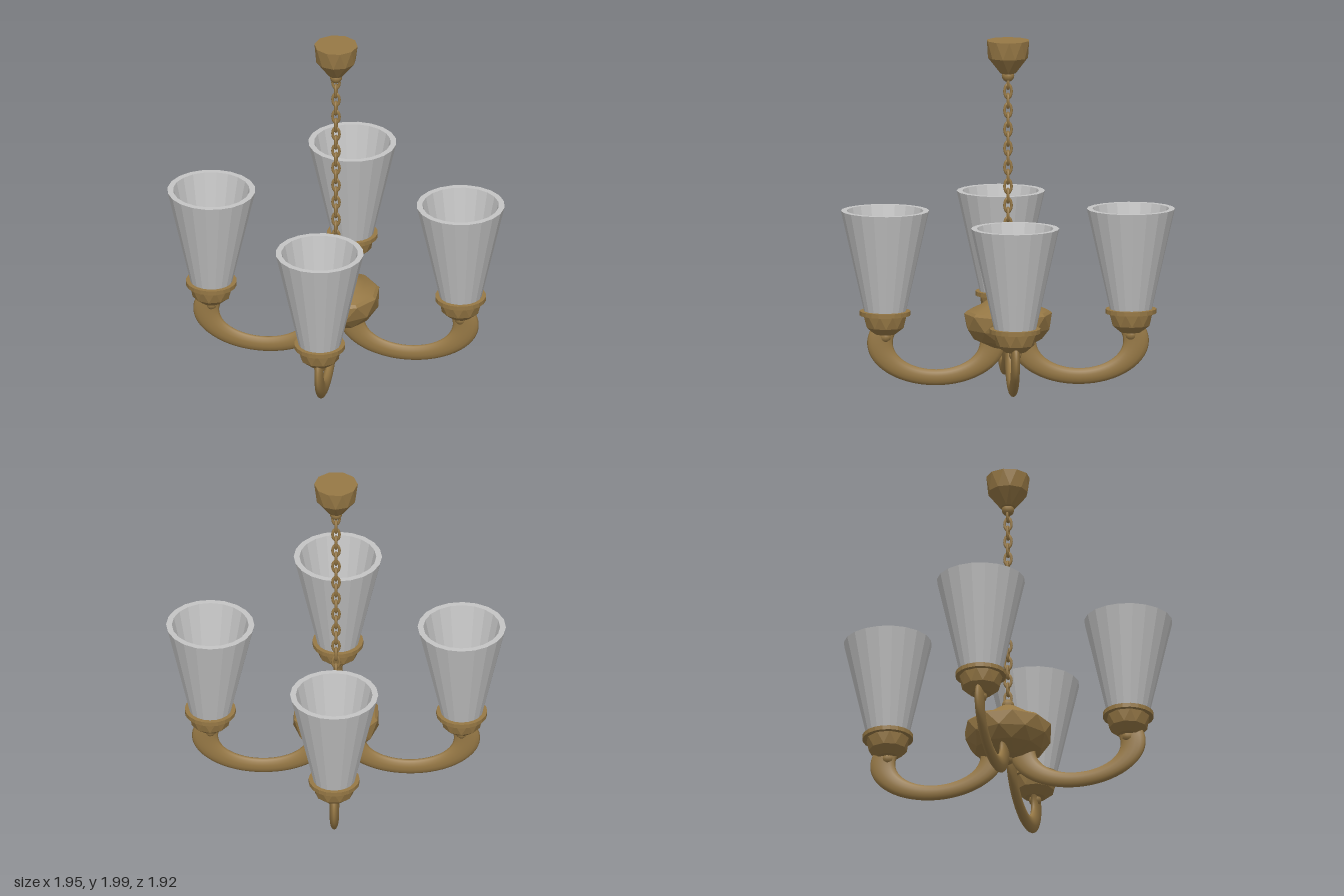
import * as THREE from 'three';

const brass = new THREE.MeshStandardMaterial({ color: 0x967845 });
brass.name = 'antique brass';
const glass = new THREE.MeshStandardMaterial({ color: 0xc4c4c4 });
glass.name = 'frosted glass';

function part(parent, name, geometry, material, x = 0, y = 0, z = 0) {
  const mesh = new THREE.Mesh(geometry, material);
  mesh.name = name;
  mesh.position.set(x, y, z);
  parent.add(mesh);
  return mesh;
}

// Give every face its own flat normal
function flat(geometry) {
  const g = geometry.index ? geometry.toNonIndexed() : geometry;
  g.computeVertexNormals();
  return g;
}

function lathe(profile, sides) {
  return new THREE.LatheGeometry(profile.map(([r, y]) => new THREE.Vector2(r, y)), sides);
}

// Cut-gem turning: every other ring is rotated half a step, giving triangular facets
function faceted(profile, sides = 10) {
  const positions = [];
  const point = (i, j) => {
    const a = ((j + (i % 2) * 0.5) / sides) * Math.PI * 2;
    const [r, y] = profile[i];
    return [r * Math.sin(a), y, r * Math.cos(a)];
  };
  for (let i = 0; i < profile.length - 1; i++) {
    for (let j = 0; j < sides; j++) {
      const a = point(i, j), a2 = point(i, j + 1);
      const b = point(i + 1, j), b2 = point(i + 1, j + 1);
      if (i % 2 === 0) positions.push(...a, ...a2, ...b, ...b, ...a2, ...b2);
      else positions.push(...a, ...b2, ...b, ...a, ...a2, ...b2);
    }
  }
  const g = new THREE.BufferGeometry();
  g.setAttribute('position', new THREE.Float32BufferAttribute(positions, 3));
  return flat(g);
}

// Arm: squashed torus arc, deeper than it is thick
function armGeometry(reach) {
  const past = 0.46;
  const g = new THREE.TorusGeometry(0.33, 0.075, 14, 40, Math.PI + 2 * past);
  g.rotateZ(-Math.PI - past);
  g.scale(1, 0.615, 0.34);
  g.translate(0.42, 0.255, 0);
  g.scale(reach / 0.72, 1, 1);
  return g;
}

const ball = new THREE.SphereGeometry(0.036, 12, 8);
const cup = faceted([[0, 0.3], [0.06, 0.305], [0.11, 0.345], [0.125, 0.42], [0, 0.42]]);
const collar = flat(new THREE.CylinderGeometry(0.146, 0.146, 0.025, 20));
const shade = flat(lathe([[0.1, 0.435], [0.12, 0.435], [0.253, 1.02], [0.22, 1.02], [0.098, 0.45]], 20));
const socket = new THREE.CylinderGeometry(0.1, 0.1, 0.02, 20);
const bulb = new THREE.SphereGeometry(0.035, 10, 8);
const link = new THREE.TorusGeometry(0.02, 0.008, 8, 16);
link.scale(1, 1.7, 1);

function createLamp(reach) {
  const lamp = new THREE.Group();
  part(lamp, 'arm', armGeometry(reach), brass);
  part(lamp, 'cupFinial', ball, brass, reach, 0.29);
  part(lamp, 'cup', cup, brass, reach);
  part(lamp, 'collar', collar, brass, reach, 0.4275);
  part(lamp, 'shade', shade, glass, reach);
  part(lamp, 'socket', socket, brass, reach, 0.445);
  part(lamp, 'bulb', bulb, glass, reach, 0.465);
  return lamp;
}

export function createModel() {
  const model = new THREE.Group();
  model.name = 'chandelier';

  // Ceiling canopy
  part(model, 'canopy', faceted([[0, 1.8], [0.045, 1.81], [0.115, 1.9], [0.125, 2], [0, 2]]), brass);
  part(model, 'canopyBall', ball, brass, 0, 1.795);

  // Chain of links turned alternately
  const chain = new THREE.Group();
  chain.name = 'chain';
  for (let i = 0; i < 22; i++) {
    part(chain, 'link', link, brass, 0, 1.76 - i * 0.055).rotation.y = (i % 2) * Math.PI / 2;
  }
  model.add(chain);

  // Central hub: gem-cut bowl with a flared cap
  part(model, 'hubBowl', faceted([[0, 0.215], [0.09, 0.225], [0.195, 0.27], [0.245, 0.335], [0.252, 0.42]]), brass);
  part(model, 'hubRim', flat(lathe([[0.252, 0.42], [0.235, 0.435]], 10)), brass);
  part(model, 'hubCap', lathe([[0.235, 0.435], [0.17, 0.465], [0.11, 0.505], [0.05, 0.545], [0, 0.555]], 10), brass);
  part(model, 'hubBall', ball, brass, 0, 0.56);
  part(model, 'hubFinial', ball, brass, 0, 0.225);

  // Four lamps around the hub
  ['leftLamp', 'backLamp', 'rightLamp', 'frontLamp'].forEach((name, i) => {
    const lamp = createLamp(i % 2 ? 0.705 : 0.72);
    lamp.name = name;
    lamp.rotation.y = i * Math.PI / 2;
    model.add(lamp);
  });
  return model;
}
